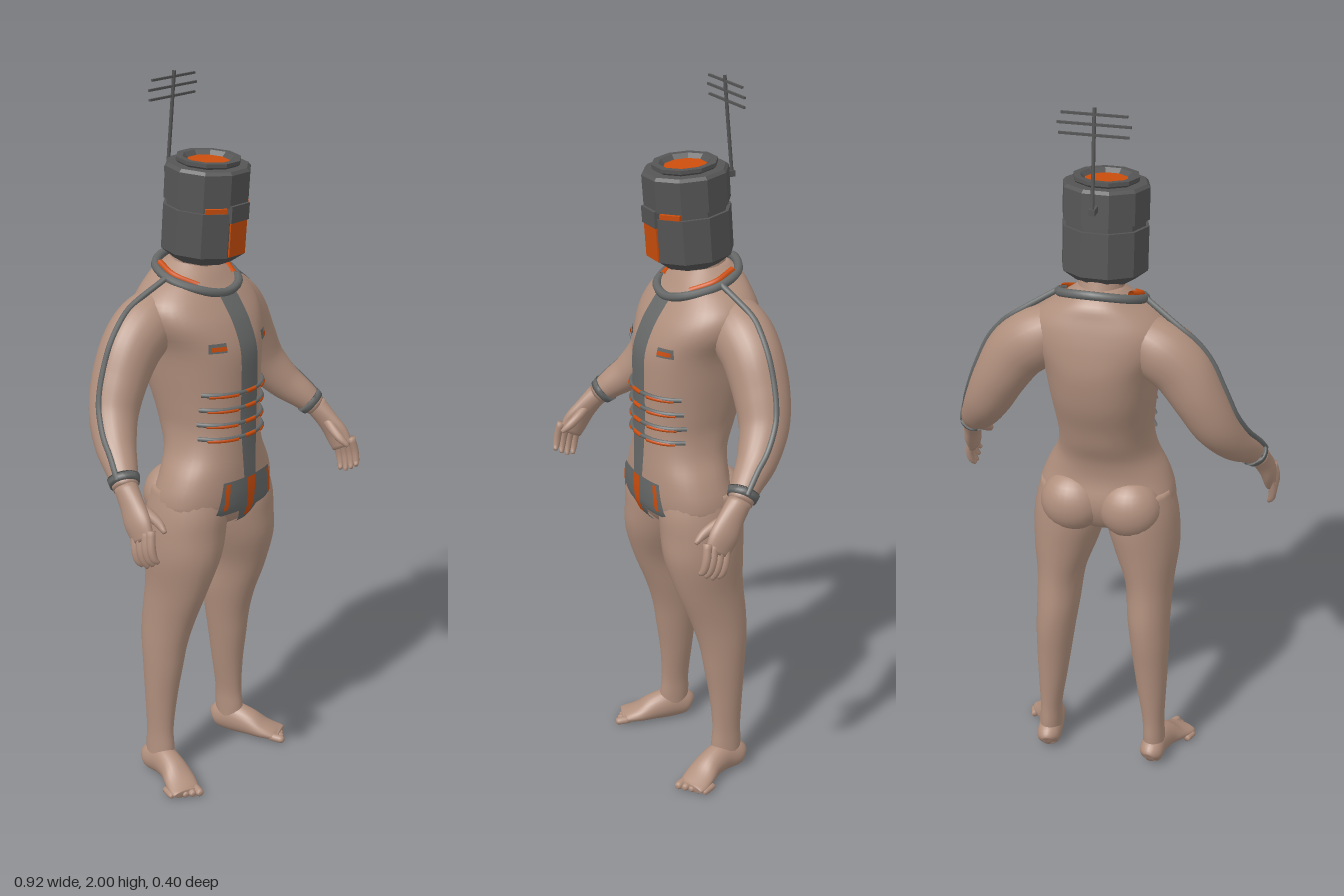
import * as THREE from 'three';

const V = (x, y, z) => new THREE.Vector3(x, y, z);
const UP = V(0, 1, 0), FWD = V(0, 0, 1);
const material = (name, color, side = THREE.FrontSide) => {
  const m = new THREE.MeshStandardMaterial({ color, side });
  m.name = name;
  return m;
};

// Rows are [x, y, z, radiusA, radiusB]; returns a smooth frame at t in 0..1
function framer(rows, { dir = null, ref = FWD } = {}) {
  const path = new THREE.CatmullRomCurve3(rows.map(r => V(r[0], r[1], r[2])), false, 'catmullrom', 0.5);
  const size = new THREE.CatmullRomCurve3(rows.map(r => V(r[3], r[4], 0)), false, 'catmullrom', 0.5);
  return t => {
    const c = path.getPoint(t), s = size.getPoint(t), d = dir || path.getTangent(t);
    const u = d.clone().cross(ref).normalize();
    return { c, u, v: d.clone().cross(u).normalize(), a: s.x, b: s.y };
  };
}

// Closed smooth skin through superelliptic cross-sections
function limb(rows, opts = {}) {
  const { steps = 28, sides = 24, power = 2 } = opts;
  const at = framer(rows, opts), pos = [], idx = [];
  const bend = k => Math.sign(k) * Math.abs(k) ** (2 / power);
  for (let i = -1; i <= steps + 1; i++) {
    const f = at(THREE.MathUtils.clamp(i / steps, 0, 1));
    const k = i < 0 || i > steps ? 0.001 : 1;
    for (let j = 0; j < sides; j++) {
      const q = j / sides * Math.PI * 2;
      const p = f.c.clone().addScaledVector(f.u, bend(Math.cos(q)) * f.a * k).addScaledVector(f.v, bend(Math.sin(q)) * f.b * k);
      pos.push(p.x, p.y, p.z);
      if (i <= steps) {
        const r = (i + 1) * sides, n = (j + 1) % sides;
        idx.push(r + j, r + n, r + sides + n, r + j, r + sides + n, r + sides + j);
      }
    }
  }
  const g = new THREE.BufferGeometry();
  g.setAttribute('position', new THREE.Float32BufferAttribute(pos, 3));
  g.setIndex(idx);
  g.computeVertexNormals();
  return g;
}

function mirrored(geo) {
  const g = geo.clone().scale(-1, 1, 1), ix = g.index.array;
  for (let i = 0; i < ix.length; i += 3) [ix[i], ix[i + 1]] = [ix[i + 1], ix[i]];
  return g;
}
const faceted = geo => {
  const g = geo.toNonIndexed();
  g.computeVertexNormals();
  return g;
};
const tube = (pts, r, closed = false) =>
  new THREE.TubeGeometry(new THREE.CatmullRomCurve3(pts, closed), 40, r, 8, closed);

// Torso profile: [y, half width, front z, back z]
const torsoRows = [
  [.765, .02, .03, -.05], [.79, .1, .09, -.09], [.835, .183, .12, -.115], [.88, .192, .128, -.12],
  [.94, .172, .128, -.108], [1, .141, .126, -.115], [1.06, .129, .125, -.14], [1.12, .133, .124, -.16],
  [1.2, .143, .126, -.19], [1.29, .157, .123, -.205], [1.36, .188, .097, -.2], [1.41, .187, .065, -.19],
  [1.45, .15, .035, -.178], [1.485, .095, .01, -.165], [1.515, .055, -.02, -.13],
].map(([y, w, f, b]) => [0, y, (f + b) / 2, w, (f - b) / 2]);
const torsoOpts = { dir: UP, power: 2.3, steps: 56, sides: 40 };
const torsoAt = framer(torsoRows, torsoOpts);

// Height of the torso's front surface
function frontZ(x, y) {
  let lo = 0, hi = 1;
  for (let i = 0; i < 24; i++) {
    const m = (lo + hi) / 2;
    if (torsoAt(m).c.y < y) lo = m; else hi = m;
  }
  const f = torsoAt(lo), k = Math.min(1, Math.abs(x) / f.a);
  return f.c.z + f.b * (1 - k ** 2.3) ** (1 / 2.3);
}
// Thin panel laid on the torso; edges(k) gives [left, right] from bottom (0) to top (1)
function panel(y0, y1, edges, lift, ny = 24) {
  const g = new THREE.PlaneGeometry(1, 1, 12, ny), p = g.attributes.position;
  for (let i = 0; i < p.count; i++) {
    const k = p.getY(i) + .5, [l, r] = edges(k);
    const y = y0 + (y1 - y0) * k, x = l + (r - l) * (p.getX(i) + .5);
    p.setXYZ(i, x, y, frontZ(x, y) + lift);
  }
  g.computeVertexNormals();
  return g;
}

export function createModel() {
  const skin = material('skin', 0xb08f7d), dark = material('dark metal', 0x555555);
  const grey = material('grey trim', 0x666868, THREE.DoubleSide);
  const orange = material('orange', 0xcb4d0d, THREE.DoubleSide);
  const root = new THREE.Group();
  const add = (name, geo, mat, parent = root) => {
    const m = new THREE.Mesh(geo, mat);
    m.name = name;
    parent.add(m);
    return m;
  };
  const pair = (name, geo, mat) => {
    add(name + 'Left', geo, mat);
    add(name + 'Right', mirrored(geo), mat);
  };

  // Body
  add('torso', limb(torsoRows, torsoOpts), skin);
  add('neck', limb([[0, 1.42, -.08, .075, .075], [0, 1.5, -.065, .062, .064], [0, 1.58, -.045, .06, .062]]), skin);
  pair('buttock', new THREE.SphereGeometry(1, 24, 16).scale(.09, .088, .078).translate(.082, .855, -.07), skin);
  pair('leg', limb([
    [.1, .9, -.005, .085, .105], [.102, .84, -.005, .098, .119], [.106, .78, -.006, .102, .12],
    [.118, .7, -.006, .091, .116], [.13, .6, -.02, .068, .1], [.134, .5, -.045, .061, .085],
    [.14, .42, -.057, .056, .072], [.145, .34, -.06, .05, .061], [.15, .25, -.063, .042, .05],
    [.156, .15, -.063, .032, .043], [.158, .09, -.061, .032, .046], [.16, .035, -.058, .033, .045],
  ], { dir: V(0, -1, 0), steps: 44 }), skin);

  // Feet and toes
  pair('foot', limb([
    [.156, .03, -.115, .013, .018], [.158, .038, -.1, .033, .037], [.162, .047, -.05, .036, .047],
    [.175, .04, 0, .039, .04], [.192, .026, .04, .045, .026], [.212, .016, .075, .044, .016], [.218, .013, .09, .038, .011],
  ], { ref: UP }), skin);
  for (let i = 0; i < 5; i++) {
    const k = i / 4, x = .193 + .06 * k, z = .122 - .055 * k, r = .012 - .003 * k;
    pair('toe' + (i + 1), limb([
      [x - .014, r + .003, z - .04, r, r], [x - .003, r, z - .01, r, r], [x, r, z, r * .6, r * .6],
    ], { ref: UP, steps: 6, sides: 10 }), skin);
  }

  // Arms
  const armRows = [
    [.1, 1.4, -.09, .06, .07], [.165, 1.355, -.09, .083, .083], [.225, 1.305, -.09, .083, .08],
    [.275, 1.225, -.088, .073, .076], [.315, 1.147, -.073, .064, .067], [.355, 1.08, -.03, .053, .055],
    [.388, 1.035, .02, .042, .042], [.412, 1, .055, .031, .033],
  ];
  pair('arm', limb(armRows, { steps: 40 }), skin);

  // Hands
  pair('palm', limb([
    [.41, 1.005, .052, .03, .032], [.422, .965, .085, .024, .036], [.433, .925, .113, .021, .042], [.437, .885, .135, .017, .037],
  ], { steps: 14 }), skin);
  for (let i = 0; i < 4; i++) {
    const k = i / 3, z = .108 + .055 * k, y = .88 + .02 * k;
    pair('finger' + (i + 1), limb([
      [.438, y + .02, z, .012, .012], [.447, y - .02, z + .008, .0115, .0115],
      [.445, y - .05, z + .015, .01, .01], [.436, y - .074 + .02 * Math.abs(k - .4), z + .022, .006, .006],
    ], { steps: 10, sides: 10 }), skin);
  }
  pair('thumb', limb([
    [.415, .965, .09, .014, .016], [.402, .945, .125, .014, .014], [.398, .925, .155, .012, .012], [.402, .908, .178, .006, .006],
  ], { ref: UP, steps: 10, sides: 12 }), skin);

  // Sleeve stripes and wrist bands
  const armAt = framer(armRows), sleeve = [V(.113, 1.482, -.055)];
  for (let t = .16; t < .98; t += .08) {
    const f = armAt(t);
    sleeve.push(f.c.addScaledVector(f.u, -f.a));
  }
  pair('sleeveStripe', tube(sleeve, .008), grey);
  pair('wristBand', limb([[.398, 1.021, .034, .043, .043], [.407, 1.007, .047, .039, .039]], { steps: 3 }), grey);

  // Collar
  const half = [[.07, 1.448, .036], [.113, 1.472, -.04], [.095, 1.497, -.115]];
  add('collar', tube([V(0, 1.435, .053), ...half.map(p => V(...p)), V(0, 1.513, -.155),
    ...half.slice().reverse().map(([x, y, z]) => V(-x, y, z))], .012, true), grey);
  pair('collarInlay', tube([V(.075, 1.462, .016), V(.103, 1.485, -.045), V(.09, 1.507, -.105)], .009), orange);

  // Front strap and hip plate
  add('frontStrap', panel(.93, 1.445, k => {
    const w = .024 + .01 * Math.min(1, k * 3);
    return [-w, w];
  }, .008, 40), grey);
  add('hipPlate', panel(.835, .932, k => [-.118 + .022 * k, .118 - .022 * k], .008), grey);
  add('hipPoint', panel(.785, .836, k => [-.012 - .026 * k, .012 + .026 * k], .009), grey);
  add('hipCentre', panel(.815, .932, k => [-.012 - .005 * k, .012 + .005 * k], .013), orange);
  pair('hipInlay', panel(.853, .928, k => [.086 - .008 * k, .1 - .008 * k], .012), orange);

  // Ribs and chest marks
  const across = (x0, x1, y, lift) => Array.from({ length: 17 }, (_, i) => {
    const x = x0 + (x1 - x0) * i / 16;
    return V(x, y, frontZ(x, y) + lift);
  });
  [1.178, 1.135, 1.092, 1.052].forEach((y, i) => {
    add('rib' + (i + 1), tube(across(-.122, .122, y, .006), .0065), grey);
    pair('ribInlay' + (i + 1), tube(across(.045, .112, y - .003, .009), .0055), orange);
    add('ribCentre' + (i + 1), tube(across(-.02, .02, y, .009), .006), orange);
  });
  pair('chestMark', panel(1.296, 1.322, () => [.073, .117], .006, 3), grey);
  pair('chestInlay', panel(1.302, 1.314, () => [.077, .113], .01, 3), orange);

  // Ten-sided helmet, tipped slightly forward
  const helmet = new THREE.Group();
  helmet.name = 'helmet';
  helmet.position.set(0, 1.66, -.02);
  helmet.rotation.x = .075;
  root.add(helmet);
  const drum = (name, r1, r0, y0, y1) => add(name, faceted(
    new THREE.CylinderGeometry(r1, r0, y1 - y0, 10).rotateY(Math.PI / 10).translate(0, (y0 + y1) / 2, 0)), dark, helmet);
  drum('helmetBase', .116, .08, -.143, -.115);
  drum('helmetLower', .116, .116, -.115, .004);
  drum('helmetGroove', .107, .107, .004, .021);
  drum('helmetUpper', .116, .116, .021, .106);
  drum('helmetBevel', .108, .116, .106, .114);
  const rim = [[.078, .112], [.088, .12], [.088, .13], [.07, .13], [.058, .118], [.058, .113]];
  add('helmetRim', faceted(new THREE.LatheGeometry(rim.map(p => new THREE.Vector2(...p)), 10)
    .rotateY(Math.PI / 10)), dark, helmet);
  add('helmetLens', new THREE.CylinderGeometry(.058, .058, .006, 10).rotateY(Math.PI / 10).translate(0, .116, 0), orange, helmet);
  add('facePlate', new THREE.BoxGeometry(.066, .092, .008).translate(0, -.066, .111), orange, helmet);
  add('browBlock', new THREE.BoxGeometry(.072, .045, .016).translate(0, .003, .11), dark, helmet);
  for (const s of [-1, 1])
    add('eyeSlit', new THREE.BoxGeometry(.058, .013, .009).translate(0, .011, .106).rotateY(s * Math.PI / 5), orange, helmet);

  // Antenna
  add('antennaMount', new THREE.BoxGeometry(.016, .016, .04).translate(0, 1.738, -.138), dark);
  add('antennaMast', tube([V(0, 1.735, -.152), V(0, 1.87, -.139), V(0, 2, -.127)], .005), dark);
  [[1.983, .085], [1.958, .095], [1.932, .09]].forEach(([y, w], i) =>
    add('antennaBar' + (i + 1), new THREE.BoxGeometry(w * 2, .006, .006).translate(0, y, -.128 - (2 - y) * .09), dark));
  return root;
}
